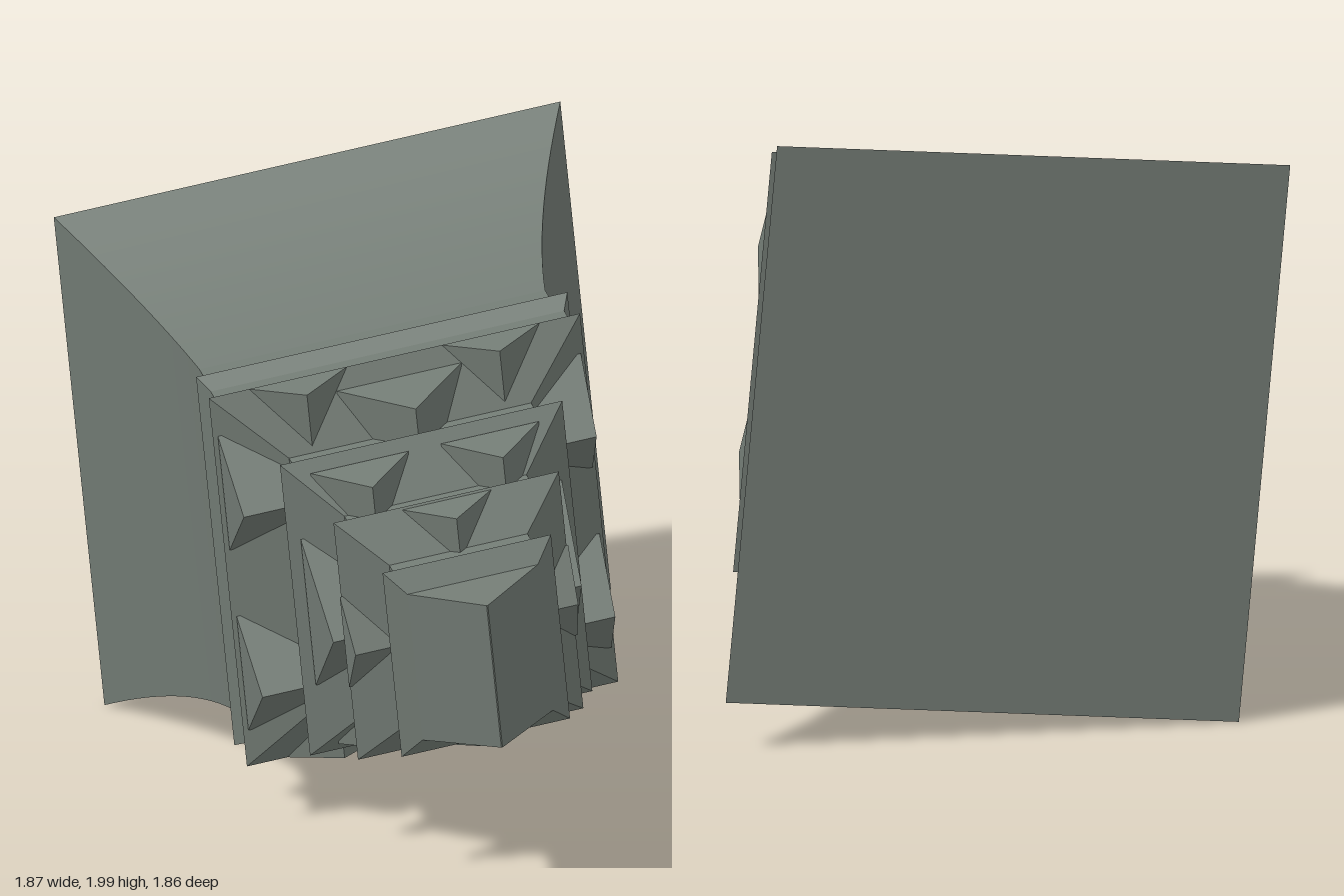
import * as THREE from 'three';
import { toCreasedNormals } from 'three/addons/utils/BufferGeometryUtils.js';

// Closed solid through rectangular rings [z, halfWidth, halfHeight], back to front
function shell(rings) {
  const pos = [];
  const corners = ([z, w, h]) => [[-w, -h, z], [w, -h, z], [w, h, z], [-w, h, z]];
  const quad = (a, b, c, d) => pos.push(...a, ...b, ...c, ...a, ...c, ...d);
  for (let k = 0; k < rings.length - 1; k++) {
    const a = corners(rings[k]), b = corners(rings[k + 1]);
    for (let i = 0; i < 4; i++) {
      const j = (i + 1) % 4;
      quad(a[i], a[j], b[j], b[i]);
    }
  }
  const back = corners(rings[0]), front = corners(rings[rings.length - 1]);
  quad(back[3], back[2], back[1], back[0]);
  quad(...front);
  const g = new THREE.BufferGeometry();
  g.setAttribute('position', new THREE.Float32BufferAttribute(pos, 3));
  g.computeVertexNormals();
  return g;
}

// Triangular gable facing outward on one side; its face leans back slightly
function dormerGeometry(angle, { offset, r, base, apex, half, wall }) {
  const s = new THREE.Shape();
  s.moveTo(-half, 0);
  s.lineTo(half, 0);
  s.lineTo(0, apex - base);
  s.closePath();
  const g = new THREE.ExtrudeGeometry(s, { depth: r - wall + 0.02, bevelEnabled: false });
  const p = g.attributes.position;
  for (let i = 0; i < p.count; i++) p.setZ(i, p.getZ(i) - 0.1 * p.getY(i));
  g.computeVertexNormals();
  g.applyMatrix4(new THREE.Matrix4().makeBasis(
    new THREE.Vector3(-1, 0, 0), new THREE.Vector3(0, 0, 1), new THREE.Vector3(0, 1, 0)));
  g.translate(offset, wall - 0.02, base);
  g.rotateZ(angle);
  return g;
}

export function createModel() {
  const model = new THREE.Group();
  model.name = 'tieredRoof';
  const tower = new THREE.Group();
  tower.name = 'tower';
  tower.rotation.z = THREE.MathUtils.degToRad(5.3);
  tower.position.y = 1;
  model.add(tower);

  const stone = new THREE.MeshStandardMaterial({ color: 0x737c75 });
  stone.name = 'greyGreenStone';
  const add = (name, geometry) => {
    const m = new THREE.Mesh(geometry, stone);
    m.name = name;
    tower.add(m);
  };

  // Flared base, concave from the wide back to the neck
  const flare = [];
  const steps = 14;
  for (let i = 0; i <= steps; i++) {
    const t = 1 - i / steps, k = 0.5 * t + 0.5 * t * t;
    flare.push([-0.27 - 0.66 * t, 0.583 + 0.271 * k, 0.644 + 0.277 * k]);
  }
  add('flaredBase', toCreasedNormals(shell(flare), 0.35));

  // Neck and moulded cornice
  add('neck', shell([[-0.27, 0.583, 0.644], [-0.145, 0.583, 0.644]]));
  add('cornice', shell([[-0.145, 0.626, 0.695], [-0.09, 0.596, 0.663], [0, 0.596, 0.663]]));

  // Stepped tiers: eave, sloping roof, then upright wall
  const tiers = [
    [[0, 0.626, 0.695], [0.11, 0.408, 0.474], [0.26, 0.408, 0.474]],
    [[0.26, 0.476, 0.548], [0.37, 0.307, 0.373], [0.515, 0.307, 0.373]],
    [[0.515, 0.38, 0.447], [0.61, 0.233, 0.302], [0.72, 0.233, 0.302]],
    [[0.72, 0.284, 0.347], [0.765, 0.22, 0.275]],
  ];
  tiers.forEach((rings, i) => add('tier' + (i + 1), shell(rings)));

  // Gabled cap with its ridge running up and down
  add('ridgeCap', shell([[0.765, 0.22, 0.275], [0.93, 0.002, 0.268]]));

  // Dormers on the top and bottom faces
  const topDormers = [
    { offset: -0.325, r: 0.695, base: 0, apex: 0.1, half: 0.165, wall: 0.474 },
    { offset: 0.325, r: 0.695, base: 0, apex: 0.1, half: 0.165, wall: 0.474 },
    { offset: 0, r: 0.635, base: 0.035, apex: 0.22, half: 0.21, wall: 0.474 },
    { offset: -0.22, r: 0.51, base: 0.29, apex: 0.435, half: 0.165, wall: 0.373 },
    { offset: 0.22, r: 0.51, base: 0.29, apex: 0.435, half: 0.165, wall: 0.373 },
    { offset: 0, r: 0.44, base: 0.52, apex: 0.63, half: 0.15, wall: 0.302 },
  ];
  // Dormers on the left and right faces
  const sideDormers = [
    { offset: -0.34, r: 0.612, base: 0.013, apex: 0.185, half: 0.215, wall: 0.408 },
    { offset: 0.34, r: 0.612, base: 0.013, apex: 0.185, half: 0.215, wall: 0.408 },
    { offset: 0, r: 0.44, base: 0.29, apex: 0.505, half: 0.275, wall: 0.307 },
    { offset: 0, r: 0.385, base: 0.518, apex: 0.613, half: 0.17, wall: 0.233 },
  ];
  for (const turn of [0, Math.PI]) {
    for (const d of topDormers) add('endDormer', dormerGeometry(turn, d));
    for (const d of sideDormers) add('sideDormer', dormerGeometry(turn + Math.PI / 2, d));
  }

  return model;
}
